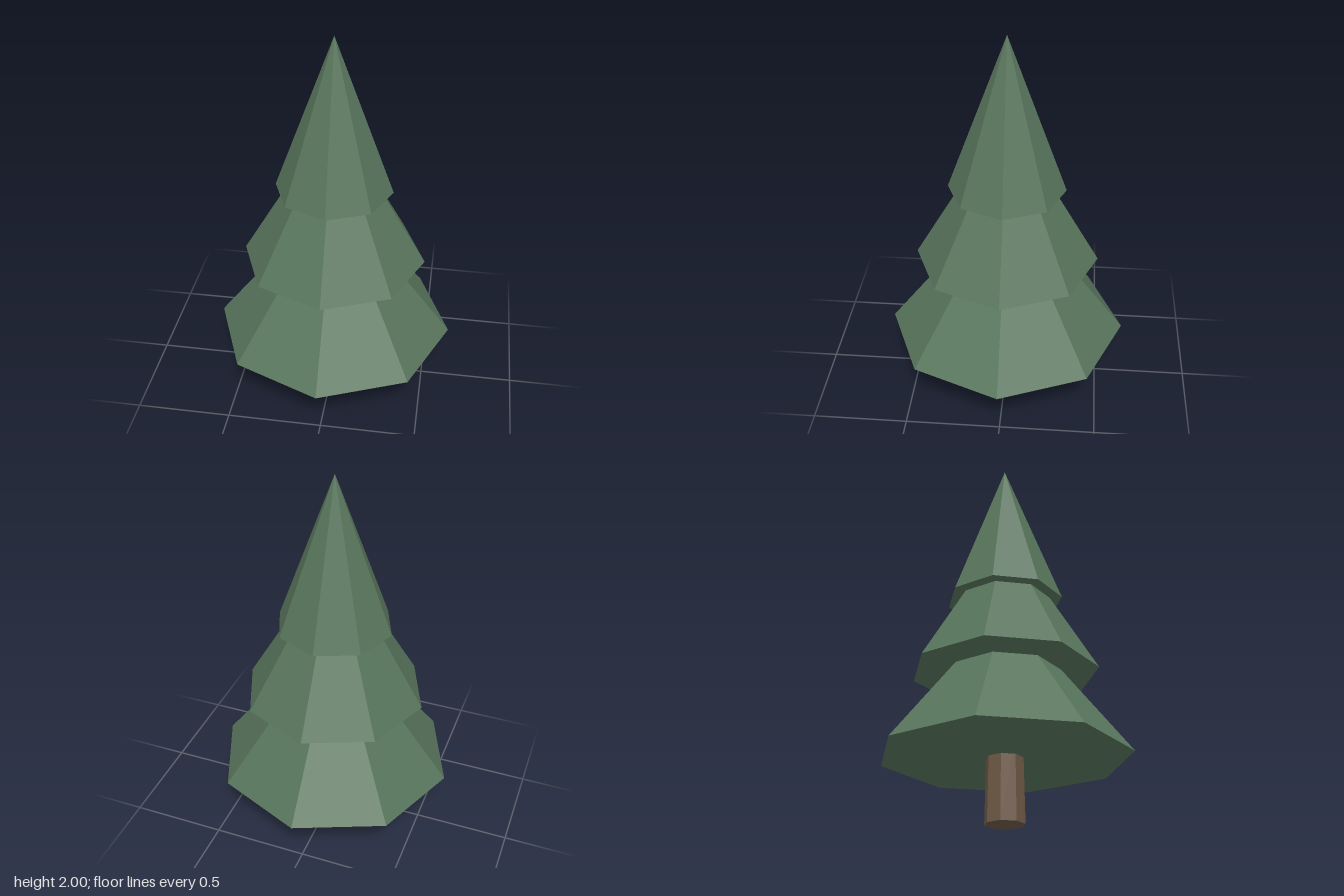
import * as THREE from 'three';

export function createModel() {
  const tree = new THREE.Group();
  tree.name = 'pineTree';

  const foliage = new THREE.MeshStandardMaterial({ name: 'foliage green', color: 0x58755c, flatShading: true });
  const bark = new THREE.MeshStandardMaterial({ name: 'bark brown', color: 0x6f5946, flatShading: true });

  const add = (name, geometry, material, y) => {
    const mesh = new THREE.Mesh(geometry, material);
    mesh.name = name;
    mesh.position.y = y;
    tree.add(mesh);
  };

  // Slightly tapered trunk, ending just inside the lowest tier
  const trunkHeight = 0.4;
  add('trunk', new THREE.CylinderGeometry(0.092, 0.1, trunkHeight, 8), bark, trunkHeight / 2);

  // Three overlapping eight-sided tiers: [name, radius, base height]
  const tierHeight = 0.82;
  for (const [name, radius, base] of [
    ['lowerBranches', 0.632, 0.325],
    ['middleBranches', 0.48, 0.77],
    ['upperBranches', 0.303, 1.18],
  ]) {
    add(name, new THREE.ConeGeometry(radius, tierHeight, 8), foliage, base + tierHeight / 2);
  }

  return tree;
}
